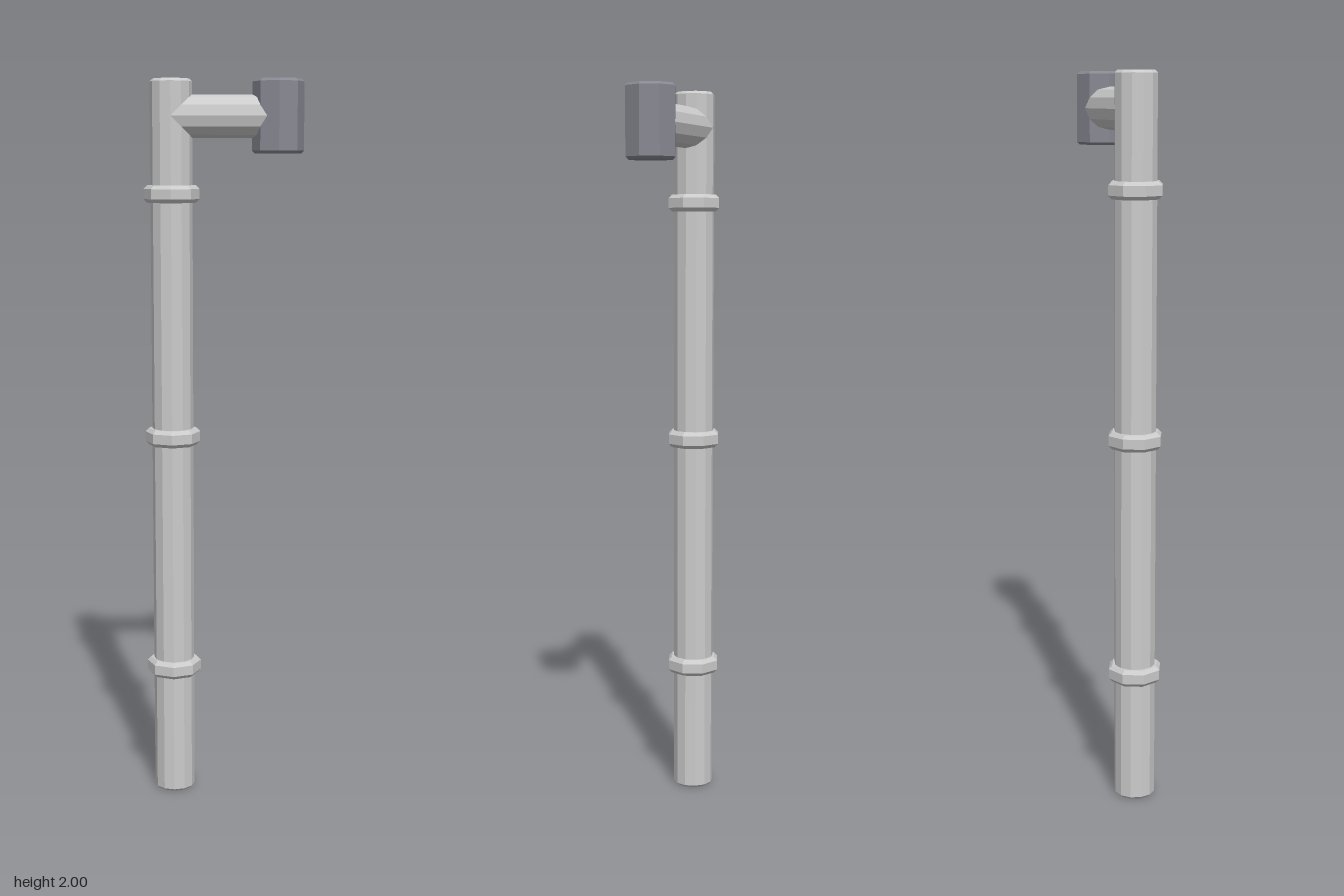
import * as THREE from 'three';

const grey = new THREE.MeshStandardMaterial({ color: 0xcccccc, flatShading: true });
const darkGrey = new THREE.MeshStandardMaterial({ color: 0x888993, flatShading: true });

// Faceted cylinder with chamfered rims, centred on its own middle
function chamferedCylinder(name, radius, height, chamfer, sides, material) {
  const h = height / 2;
  const profile = [
    [0, -h], [radius - chamfer, -h], [radius, -h + chamfer],
    [radius, h - chamfer], [radius - chamfer, h], [0, h],
  ].map(([x, y]) => new THREE.Vector2(x, y));
  const mesh = new THREE.Mesh(new THREE.LatheGeometry(profile, sides), material);
  mesh.name = name;
  return mesh;
}

export function createModel() {
  const model = new THREE.Group();
  model.name = 'pipe';
  const poleX = -0.141, capX = 0.147, armY = 1.902;

  // Tall upright pipe
  const pole = chamferedCylinder('uprightPipe', 0.057, 2, 0.007, 12, grey);
  pole.position.set(poleX, 1, 0);
  model.add(pole);

  // Collars around the pipe
  [0.365, 1.03, 1.696].forEach((y, i) => {
    const collar = chamferedCylinder(`collar${i + 1}`, 0.076, 0.047, 0.01, 8, grey);
    collar.position.set(poleX, y, 0);
    model.add(collar);
  });

  // Horizontal arm, its ends buried in the pipe and the end cap
  const arm = new THREE.Mesh(
    new THREE.CylinderGeometry(0.057, 0.057, capX - poleX, 12), grey);
  arm.name = 'sideArm';
  arm.rotation.z = Math.PI / 2;
  arm.position.set((poleX + capX) / 2, armY, 0);
  model.add(arm);

  // Dark end cap
  const cap = chamferedCylinder('endCap', 0.07, 0.196, 0.007, 8, darkGrey);
  cap.position.set(capX, armY, 0);
  model.add(cap);

  return model;
}
